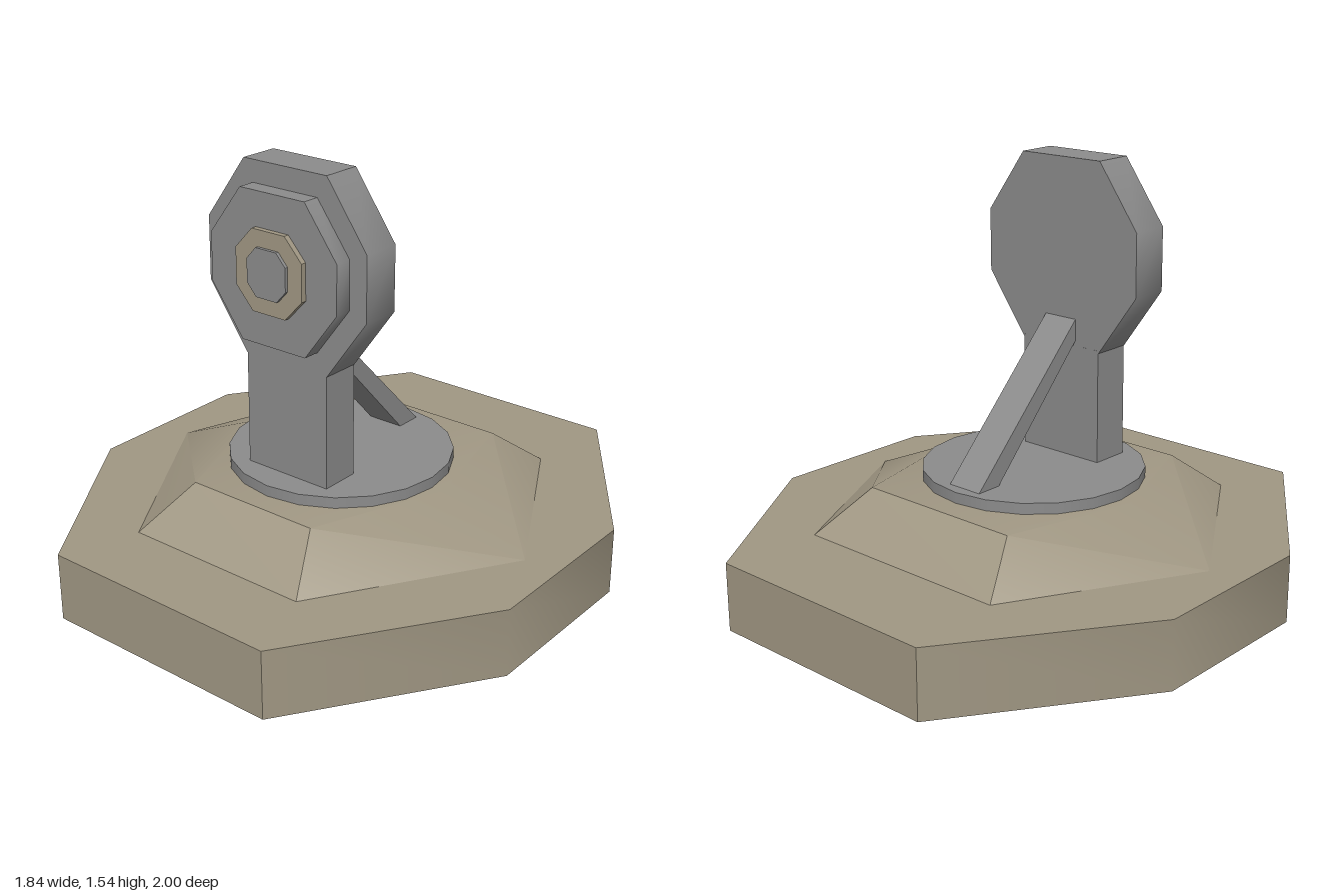
import * as THREE from 'three';
import { toCreasedNormals } from 'three/addons/utils/BufferGeometryUtils.js';

const stone = new THREE.MeshStandardMaterial({ color: 0xa09783 });
stone.name = 'warm stone';
const metal = new THREE.MeshStandardMaterial({ color: 0x8c8c8c });
metal.name = 'grey metal';

function add(parent, name, geometry, material) {
  const mesh = new THREE.Mesh(geometry, material);
  mesh.name = name;
  parent.add(mesh);
  return mesh;
}

// Flat outline pushed out along z, soft across shallow corners only
function prism(points, depth, crease = 0.65) {
  const shape = new THREE.Shape(points.map(([x, y]) => new THREE.Vector2(x, y)));
  return toCreasedNormals(new THREE.ExtrudeGeometry(shape, { depth, bevelEnabled: false }), crease);
}

// Octagon with half width w, half height h, and the shorter halves of its flat sides
function octagon(w, h, flatX, flatY) {
  return [[flatX, h], [-flatX, h], [-w, flatY], [-w, -flatY],
    [-flatX, -h], [flatX, -h], [w, -flatY], [w, flatY]];
}

// Six-sided mound joining a lower and an upper ring
function moundGeometry() {
  const y0 = 0.25, y1 = 0.4;
  // Corners run front left, side left, back left, back right, side right, front right
  const low = [[0.36, 0.72], [0.79, 0.04], [0.425, -0.64], [-0.425, -0.64], [-0.79, 0.04], [-0.36, 0.72]];
  const top = [[0.262, 0.53], [0.45, 0.04], [0.325, -0.45], [-0.325, -0.45], [-0.45, 0.04], [-0.262, 0.53]];
  const position = [];
  const tri = (...corners) => corners.forEach(([[x, z], y]) => position.push(x, y, z));
  for (let i = 0; i < 6; i++) {
    const j = (i + 1) % 6;
    const a = [low[i], y0], b = [low[j], y0], c = [top[j], y1], d = [top[i], y1];
    // The diagonal always starts from the outer side corner
    if (i === 1 || i === 4) { tri(a, b, c); tri(a, c, d); }
    else { tri(a, b, d); tri(b, c, d); }
    tri([[0, 0.04], y1], d, c);
  }
  const geometry = new THREE.BufferGeometry();
  geometry.setAttribute('position', new THREE.Float32BufferAttribute(position, 3));
  return toCreasedNormals(geometry, 0.58);
}

export function createModel() {
  const model = new THREE.Group();
  model.name = 'pedestal marker';

  // Stepped base
  const base = prism(octagon(0.92, 1, 0.46, 0.33), 0.25);
  base.rotateX(-Math.PI / 2);
  add(model, 'base', base, stone);
  add(model, 'mound', moundGeometry(), stone);
  const disc = add(model, 'disc', new THREE.CylinderGeometry(0.405, 0.405, 0.04, 20), metal);
  disc.position.set(0, 0.42, 0.045);

  // Upright leans back very slightly
  const upright = new THREE.Group();
  upright.name = 'upright';
  upright.position.set(0, 0.44, 0);
  upright.rotation.x = -0.01;
  model.add(upright);

  const post = add(upright, 'post', new THREE.BoxGeometry(0.35, 0.43, 0.147), metal);
  post.position.set(0, 0.205, 0.268);

  // Stacked octagonal plates on the head
  const plates = [
    ['head', octagon(0.34, 0.343, 0.176, 0.115), 0.195, 0.147, metal],
    ['facePlate', octagon(0.27, 0.265, 0.137, 0.087), 0.342, 0.064, metal],
    ['ring', octagon(0.142, 0.143, 0.07, 0.065), 0.406, 0.02, stone],
    ['hub', octagon(0.083, 0.085, 0.044, 0.042), 0.426, 0.012, metal],
  ];
  for (const [name, outline, z, depth, material] of plates) {
    const plate = add(upright, name, prism(outline, depth), material);
    plate.position.set(0, 0.753, z);
  }

  // Slanted brace behind, its side outline drawn as (-z, y)
  const brace = prism([[-0.19, 0.96], [-0.19, 0.88], [0.225, 0.43], [0.325, 0.43]], 0.14, 0.3);
  brace.translate(0, 0, -0.07);
  brace.rotateY(Math.PI / 2);
  add(model, 'brace', brace, metal);

  return model;
}
